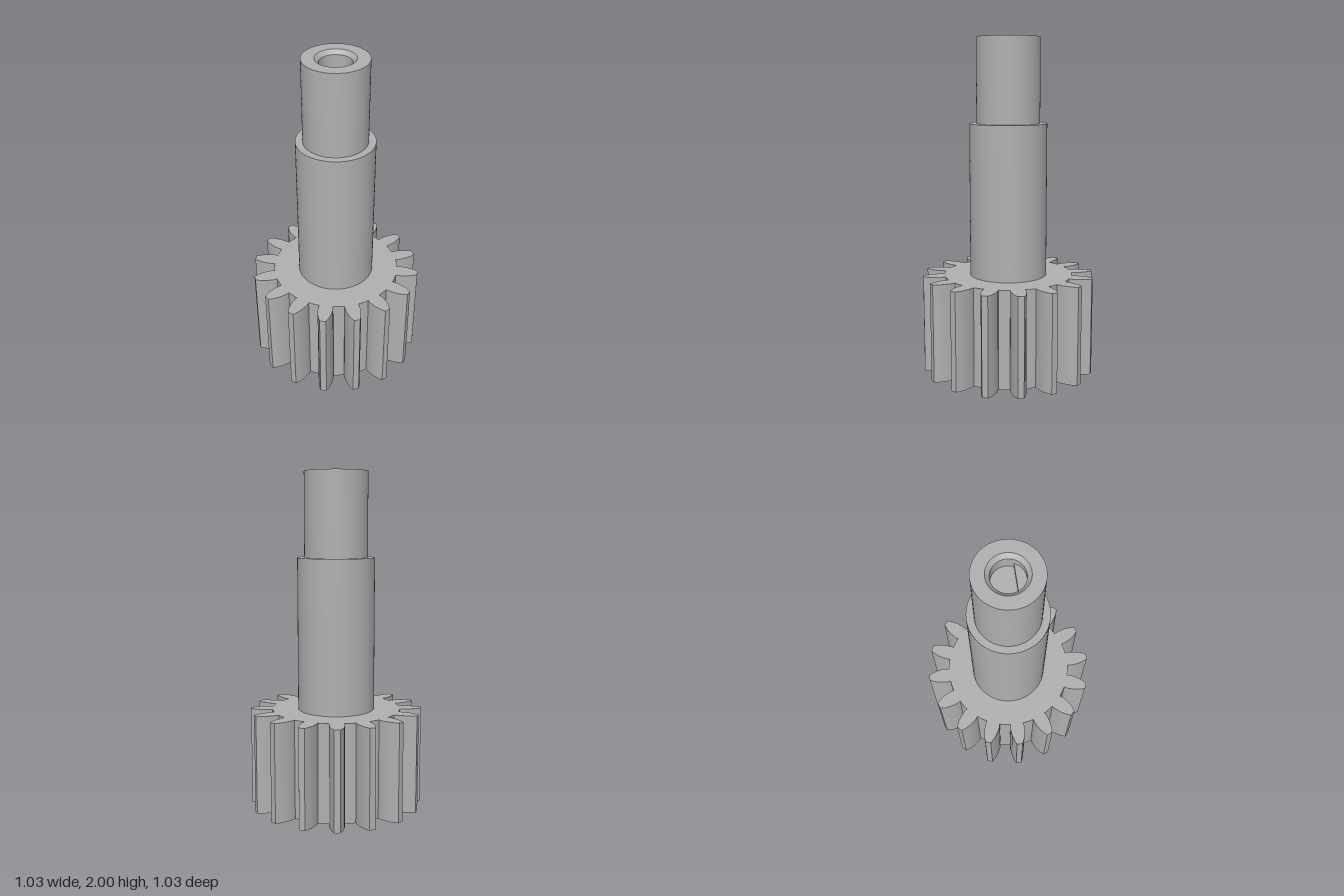
import * as THREE from 'three';
import { toCreasedNormals } from 'three/addons/utils/BufferGeometryUtils.js';

const TEETH = 16;
const GEAR_HEIGHT = 0.59;

export function createModel() {
  const model = new THREE.Group();
  model.name = 'pinionShaft';
  const steel = new THREE.MeshStandardMaterial({ color: 0xb0b0b0 });
  steel.name = 'greySteel';

  const add = (name, geometry) => {
    const mesh = new THREE.Mesh(geometry, steel);
    mesh.name = name;
    model.add(mesh);
  };
  const turned = (points) => toCreasedNormals(
    new THREE.LatheGeometry(points.map(([r, y]) => new THREE.Vector2(r, y)), 64), 0.6);
  const extrudeUp = (shape, bottom, top) => {
    const g = new THREE.ExtrudeGeometry(shape, { depth: top - bottom, bevelEnabled: false, curveSegments: 48 });
    return toCreasedNormals(g.rotateX(-Math.PI / 2).translate(0, bottom, 0), 0.4);
  };

  // Gear: each tooth flank is [half width, distance along the tooth axis]
  const flank = [[0.042, 0.383], [0.045, 0.405], [0.044, 0.425], [0.040, 0.455], [0.031, 0.487], [0.018, 0.515]];
  const tooth = [...flank.map(([w, d]) => [-w, d]), ...flank.slice().reverse()];
  const rootRadius = Math.hypot(...flank[0]);
  const halfRoot = Math.atan2(...flank[0]);
  const outline = [];
  for (let i = 0; i < TEETH; i++) {
    const a = -(i * Math.PI * 2) / TEETH;
    const c = Math.cos(a), s = Math.sin(a);
    for (const [w, d] of tooth) outline.push(new THREE.Vector2(w * c - d * s, w * s + d * c));
    // rounded root between neighbouring teeth
    const gap = (Math.PI * 2) / TEETH - 2 * halfRoot;
    for (let k = 1; k < 4; k++) {
      const b = a - halfRoot - (gap * k) / 4;
      outline.push(new THREE.Vector2(-Math.sin(b), Math.cos(b)).multiplyScalar(rootRadius));
    }
  }
  const gear = new THREE.Shape(outline);
  gear.holes.push(new THREE.Path().absarc(0, 0, 0.135, 0, Math.PI * 2, true));
  add('gear', extrudeUp(gear, 0, GEAR_HEIGHT));

  // Stepped shaft with a countersunk blind bore in its top
  add('shaft', turned([
    [0.23, GEAR_HEIGHT], [0.23, 1.5], [0.188, 1.5], [0.188, 2],
    [0.115, 2], [0.092, 1.977], [0.092, 1.9], [0, 1.9],
  ]));

  // Chamfered bore in the underside
  add('lowerBore', turned([[0, 0.3], [0.115, 0.3], [0.115, 0.02], [0.135, 0]]));

  // Flats that give both bores a D section
  const flat = (radius) => {
    const t = Math.asin(0.04 / radius);
    return new THREE.Shape().absarc(0, 0, radius, Math.PI + t, Math.PI * 2 - t, false);
  };
  add('upperFlat', extrudeUp(flat(0.092), 1.9, 1.935));
  add('lowerFlat', extrudeUp(flat(0.115), 0.04, 0.3));

  return model;
}
